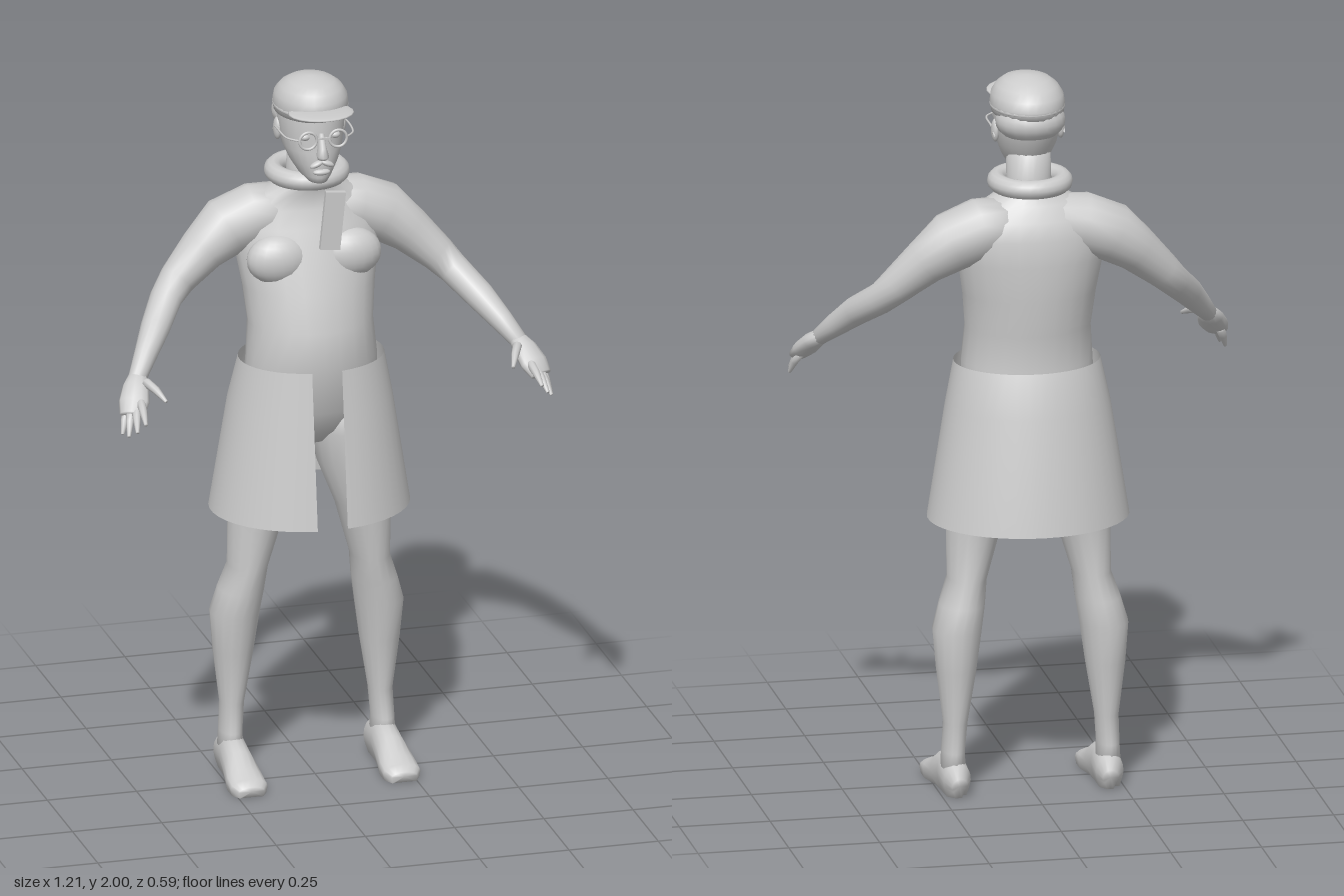
import * as THREE from 'three';

const V = (x, y, z) => new THREE.Vector3(x, y, z);

// Skin closed rings of points into one smooth surface with end caps
function loft(rings) {
  const n = rings[0].length, pos = [], idx = [];
  rings.forEach(r => r.forEach(p => pos.push(p.x, p.y, p.z)));
  for (let i = 0; i < rings.length - 1; i++)
    for (let j = 0; j < n; j++) {
      const a = i * n + j, b = i * n + (j + 1) % n;
      idx.push(a, a + n, b, b, a + n, b + n);
    }
  const cap = (ring, start, flip) => {
    const c = ring.reduce((s, p) => s.add(p), V(0, 0, 0)).divideScalar(n);
    const k = pos.length / 3;
    pos.push(c.x, c.y, c.z);
    for (let j = 0; j < n; j++) {
      const a = start + j, b = start + (j + 1) % n;
      flip ? idx.push(k, b, a) : idx.push(k, a, b);
    }
  };
  cap(rings[0], 0, false);
  cap(rings[rings.length - 1], (rings.length - 1) * n, true);
  const g = new THREE.BufferGeometry();
  g.setAttribute('position', new THREE.Float32BufferAttribute(pos, 3));
  g.setIndex(idx);
  g.computeVertexNormals();
  return g;
}

// Horizontal oval sections, bottom to top: [y, centreX, halfWidth, zFront, zBack]
const body = (sections, n = 20) => loft(sections.map(([y, cx, hx, zf, zb]) =>
  Array.from({ length: n }, (_, j) => {
    const t = j / n * Math.PI * 2;
    return V(cx + hx * Math.cos(t), y, (zf + zb) / 2 + (zf - zb) / 2 * Math.sin(t));
  })));

// Oval sections across a path: [x, y, z, halfWidth, halfHeight]
function limb(stations, n = 12) {
  const c = stations.map(s => V(s[0], s[1], s[2]));
  return loft(stations.map((s, i) => {
    const d = c[Math.min(i + 1, c.length - 1)].clone().sub(c[Math.max(i - 1, 0)]).normalize();
    const u = V(0, 1, 0).cross(d).normalize(), v = u.clone().cross(d);
    return Array.from({ length: n }, (_, j) => {
      const t = j / n * Math.PI * 2;
      return c[i].clone().addScaledVector(u, s[3] * Math.cos(t)).addScaledVector(v, s[4] * Math.sin(t));
    });
  }));
}

// Wrap skirt: flared open shell with a gap at the front
function skirtGeometry() {
  const rows = [[1.2, 0.2, 0.125, -0.205], [1.08, 0.225, 0.14, -0.245], [0.765, 0.275, 0.18, -0.295]];
  const n = 40, g = new THREE.PlaneGeometry(1, 1, n, rows.length - 1), p = g.attributes.position;
  rows.forEach(([y, hx, zf, zb], i) => {
    const gap = Math.asin(0.042 / hx);
    for (let j = 0; j <= n; j++) {
      const t = gap + (Math.PI * 2 - 2 * gap) * j / n;
      p.setXYZ(i * (n + 1) + j, hx * Math.sin(t), y, (zf + zb) / 2 + (zf - zb) / 2 * Math.cos(t));
    }
  });
  g.computeVertexNormals();
  return g;
}

export function createModel() {
  const model = new THREE.Group();
  model.name = 'figure';
  const grey = new THREE.MeshStandardMaterial({ color: 0xcccccc, side: THREE.DoubleSide });
  grey.name = 'light grey';
  const add = (name, geometry, parent = model) => {
    const m = new THREE.Mesh(geometry, grey);
    m.name = name;
    parent.add(m);
    return m;
  };
  const ball = (name, x, y, z, rx, ry, rz, parent) => {
    const m = add(name, new THREE.SphereGeometry(1, 20, 14), parent);
    m.position.set(x, y, z);
    m.scale.set(rx, ry, rz);
    return m;
  };

  // Torso and neck
  add('torso', body([
    [0.95, 0, 0.06, -0.01, -0.1], [0.99, 0, 0.15, 0.03, -0.17], [1.06, 0, 0.185, 0.07, -0.2],
    [1.2, 0, 0.18, 0.11, -0.185], [1.3, 0, 0.172, 0.095, -0.195], [1.4, 0, 0.183, 0.07, -0.207],
    [1.5, 0, 0.2, 0.035, -0.21], [1.57, 0, 0.205, 0.01, -0.207], [1.62, 0, 0.185, -0.012, -0.19],
    [1.66, 0, 0.135, -0.015, -0.165], [1.69, 0, 0.075, -0.005, -0.14], [1.72, 0, 0.06, 0, -0.128],
    [1.8, 0, 0.06, 0, -0.125]], 24));
  add('skirt', skirtGeometry());

  for (const s of [1, -1]) {
    const side = s > 0 ? 'left' : 'right';
    ball(side + 'Chest', s * 0.1, 1.49, -0.01, 0.088, 0.07, 0.055);

    // Arm and hand
    const arm = new THREE.Group();
    arm.name = side + 'Arm';
    model.add(arm);
    add('armLimb', limb([
      [s * 0.06, 1.6, -0.1, 0.08, 0.075], [s * 0.14, 1.59, -0.105, 0.085, 0.085],
      [s * 0.22, 1.56, -0.108, 0.085, 0.082], [s * 0.29, 1.505, -0.095, 0.066, 0.064],
      [s * 0.365, 1.435, -0.075, 0.05, 0.05], [s * 0.405, 1.393, -0.048, 0.044, 0.043],
      [s * 0.455, 1.34, 0.025, 0.04, 0.04], [s * 0.5, 1.285, 0.085, 0.031, 0.032],
      [s * 0.535, 1.24, 0.13, 0.025, 0.023]], 16), arm);
    add('palm', limb([
      [s * 0.53, 1.247, 0.12, 0.024, 0.02], [s * 0.545, 1.225, 0.152, 0.036, 0.024],
      [s * 0.56, 1.195, 0.188, 0.042, 0.024], [s * 0.573, 1.17, 0.215, 0.034, 0.018]]), arm);
    const fingers = [
      ['thumb', 0.52, 1.24, 0.165, 0.486, 1.21, 0.247], ['indexFinger', 0.546, 1.2, 0.2, 0.555, 1.165, 0.29],
      ['middleFinger', 0.56, 1.185, 0.205, 0.575, 1.14, 0.277], ['ringFinger', 0.573, 1.175, 0.2, 0.592, 1.122, 0.252],
      ['littleFinger', 0.58, 1.175, 0.185, 0.6, 1.118, 0.218]];
    for (const [name, x, y, z, X, Y, Z] of fingers)
      add(name, limb([[s * x, y, z, 0.013, 0.013],
        [s * (x + X) / 2, (y + Y) / 2 + 0.005, (z + Z) / 2, 0.011, 0.011],
        [s * X, Y, Z, 0.005, 0.005]], 8), arm);

    // Leg and foot
    const leg = new THREE.Group();
    leg.name = side + 'Leg';
    model.add(leg);
    add('legLimb', body([
      [0.06, s * 0.213, 0.034, -0.03, -0.145], [0.12, s * 0.213, 0.031, -0.035, -0.14],
      [0.2, s * 0.208, 0.033, -0.048, -0.137], [0.35, s * 0.205, 0.055, -0.025, -0.155],
      [0.46, s * 0.202, 0.067, -0.005, -0.167], [0.53, s * 0.187, 0.062, 0.005, -0.16],
      [0.6, s * 0.171, 0.053, 0.015, -0.148], [0.76, s * 0.148, 0.078, 0.03, -0.142],
      [0.88, s * 0.115, 0.092, 0.045, -0.17], [0.98, s * 0.1, 0.094, 0.05, -0.185],
      [1.08, s * 0.095, 0.085, 0.05, -0.18]], 16));
    const foot = limb([
      [s * 0.208, 0.035, -0.155, 0.022, 0.025], [s * 0.21, 0.045, -0.13, 0.038, 0.05],
      [s * 0.212, 0.055, -0.06, 0.04, 0.06], [s * 0.213, 0.04, 0, 0.045, 0.052],
      [s * 0.214, 0.026, 0.06, 0.052, 0.032], [s * 0.214, 0.02, 0.105, 0.052, 0.024],
      [s * 0.214, 0.016, 0.13, 0.036, 0.014]], 16);
    const p = foot.attributes.position; // flat sole
    for (let i = 0; i < p.count; i++) p.setY(i, Math.max(0, p.getY(i) < 0.014 ? 0 : p.getY(i)));
    foot.computeVertexNormals();
    add('foot', foot, leg);
  }

  // Head and face
  const head = new THREE.Group();
  head.name = 'head';
  model.add(head);
  add('skull', body([
    [1.722, 0, 0.028, 0.06, -0.03], [1.74, 0, 0.045, 0.068, -0.085], [1.775, 0, 0.066, 0.07, -0.115],
    [1.81, 0, 0.08, 0.07, -0.135], [1.85, 0, 0.088, 0.066, -0.155], [1.9, 0, 0.093, 0.07, -0.166],
    [1.94, 0, 0.088, 0.06, -0.16]], 24), head);
  add('nose', body([[1.797, 0, 0.013, 0.09, 0.055], [1.808, 0, 0.017, 0.104, 0.05],
    [1.83, 0, 0.012, 0.09, 0.05], [1.868, 0, 0.008, 0.07, 0.05]], 10), head);
  ball('mouth', 0, 1.757, 0.066, 0.024, 0.009, 0.012, head);
  for (const s of [1, -1]) {
    const m = ball('moustache', s * 0.015, 1.782, 0.07, 0.02, 0.008, 0.011, head);
    m.rotation.z = -s * 0.4;
    ball('ear', s * 0.09, 1.85, -0.055, 0.011, 0.032, 0.02, head);
    ball('eye', s * 0.042, 1.856, 0.05, 0.014, 0.01, 0.012, head);
    // Spectacles
    add('spectacleRim', new THREE.TorusGeometry(0.024, 0.004, 8, 24), head).position.set(s * 0.042, 1.856, 0.082);
    add('spectacleArm', new THREE.TubeGeometry(new THREE.CatmullRomCurve3([
      V(s * 0.066, 1.858, 0.082), V(s * 0.092, 1.858, 0.05), V(s * 0.098, 1.857, -0.05),
      V(s * 0.096, 1.84, -0.075)]), 16, 0.003, 6), head);
  }
  add('spectacleBridge', new THREE.BoxGeometry(0.036, 0.005, 0.005), head).position.set(0, 1.86, 0.085);

  // Cap with rolled edge, and hair below it at the back
  add('cap', body([
    [1.9, 0, 0.097, 0.07, -0.17], [1.925, 0, 0.101, 0.078, -0.172], [1.95, 0, 0.097, 0.075, -0.163],
    [1.972, 0, 0.083, 0.06, -0.14], [1.988, 0, 0.062, 0.035, -0.11], [1.997, 0, 0.034, 0, -0.075],
    [2, 0, 0.01, -0.03, -0.05]], 28), head);
  ball('hair', 0, 1.885, -0.085, 0.096, 0.062, 0.089, head);
  const band = add('capBand', new THREE.TorusGeometry(1, 0.06, 8, 32), head);
  band.rotation.x = Math.PI / 2;
  band.scale.set(0.096, 0.118, 0.12);
  band.position.set(0, 1.918, -0.047);
  const brim = ball('capBrim', 0, 1.926, 0.06, 0.09, 0.009, 0.085, head);
  brim.rotation.x = -0.06;

  // Neck roll and hanging tab
  const collar = add('neckRoll', new THREE.TorusGeometry(0.09, 0.026, 12, 32));
  collar.rotation.x = Math.PI / 2;
  collar.scale.y = 1.04;
  collar.position.set(0, 1.712, -0.082);
  const tab = add('neckTab', new THREE.BoxGeometry(0.056, 0.165, 0.014));
  tab.position.set(0.032, 1.613, 0.061);
  tab.rotation.z = -0.1;

  return model;
}
